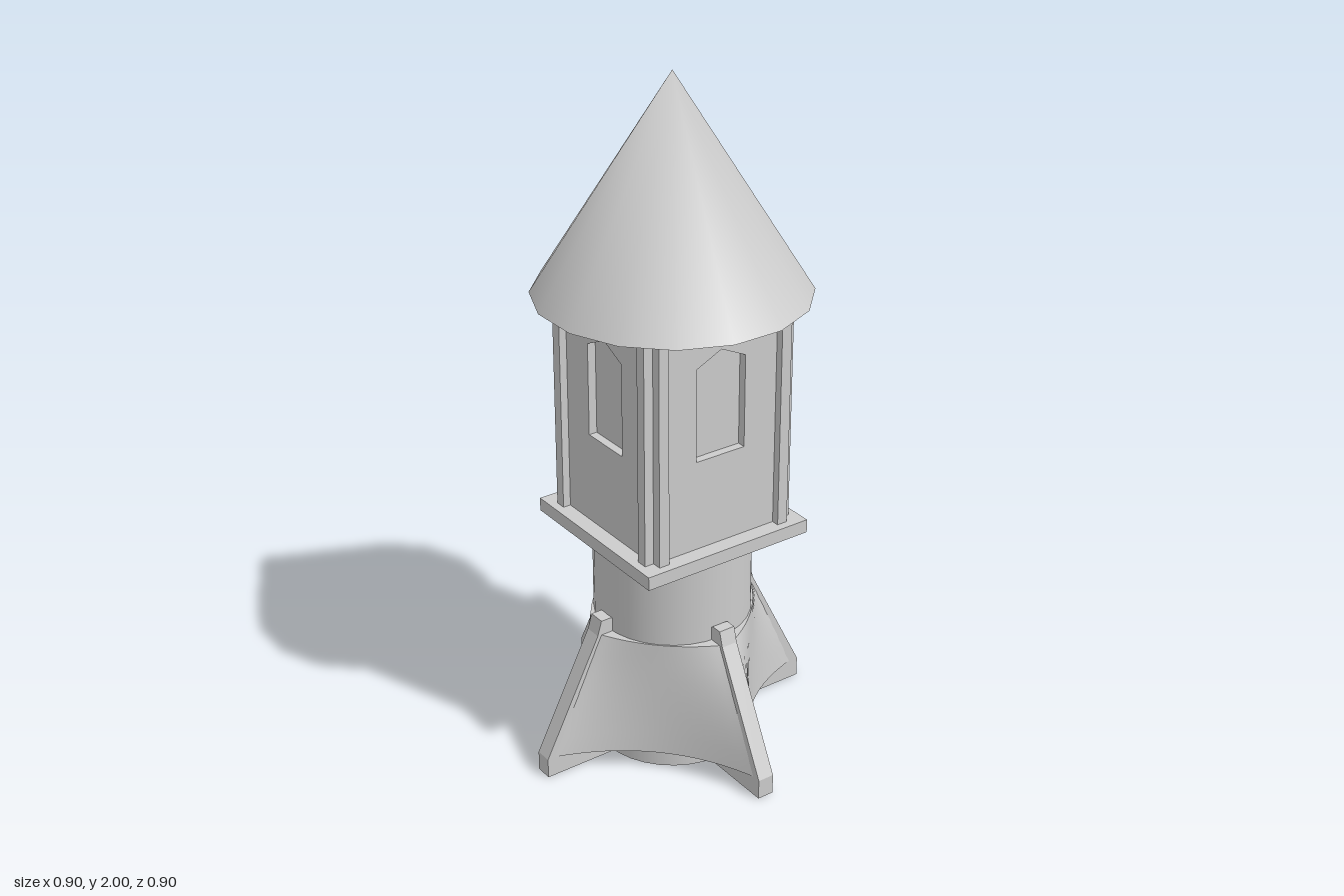
import * as THREE from 'three';
import { mergeVertices } from 'three/addons/utils/BufferGeometryUtils.js';

const stone = new THREE.MeshStandardMaterial({ color: 0xcccccc });
stone.name = 'stone grey';

const polygon = (pts) => new THREE.Shape(pts.map(([x, y]) => new THREE.Vector2(x, y)));
const extrude = (shape, depth) =>
  new THREE.ExtrudeGeometry(shape, { depth, bevelEnabled: false, curveSegments: 10 });

function part(parent, name, geometry, y = 0, turn = 0) {
  const mesh = new THREE.Mesh(geometry, stone);
  mesh.name = name;
  mesh.position.y = y;
  mesh.rotation.y = turn;
  parent.add(mesh);
  return mesh;
}

// Concave skirt between two fins, closed above and below; waist = its inner radius at the foot
function skirtGeometry(waist) {
  const rows = 6, cols = 16, pos = [], index = [];
  const ring = (t) => {
    const reach = THREE.MathUtils.lerp(0.44, 0.265, t);
    const middle = THREE.MathUtils.lerp(waist, 0.23, t);
    const c = middle * Math.SQRT2 - 0.5 * (reach + 0.02);
    return new THREE.QuadraticBezierCurve(new THREE.Vector2(reach, 0.02),
      new THREE.Vector2(c, c), new THREE.Vector2(0.02, reach)).getPoints(cols);
  };
  const addRing = (t) => ring(t).forEach((p) => pos.push(p.x, 0.06 + 0.35 * t, p.y));
  for (let j = 0; j <= rows; j++) addRing(j / rows);
  for (let j = 0; j < rows; j++) {
    for (let i = 0; i < cols; i++) {
      const a = j * (cols + 1) + i, b = a + cols + 1;
      index.push(a, b, a + 1, b, b + 1, a + 1);
    }
  }
  // End caps fan out from the axis
  for (const t of [0, 1]) {
    const hub = pos.length / 3;
    pos.push(0, 0.06 + 0.35 * t, 0);
    addRing(t);
    for (let i = 1; i <= cols; i++) {
      if (t) index.push(hub, hub + i + 1, hub + i);
      else index.push(hub, hub + i, hub + i + 1);
    }
  }
  const g = new THREE.BufferGeometry();
  g.setAttribute('position', new THREE.Float32BufferAttribute(pos, 3));
  g.setIndex(index);
  g.computeVertexNormals();
  return g;
}

export function createModel() {
  const model = new THREE.Group();
  model.name = 'tower';

  // Round shaft and square platform
  part(model, 'shaft', new THREE.CylinderGeometry(0.227, 0.227, 0.69, 32), 0.345);
  part(model, 'platform', new THREE.BoxGeometry(0.54, 0.04, 0.54), 0.70);

  // Four fins with skirts between them
  const finShape = polygon([[0.15, 0], [0.452, 0], [0.452, 0.06], [0.275, 0.41],
    [0.262, 0.455], [0.23, 0.455], [0.15, 0.41]]);
  const finGeometry = extrude(finShape, 0.05).translate(0, 0, -0.025);
  const fullSkirt = skirtGeometry(0.25);
  const slimSkirt = skirtGeometry(0.233);

  // Walls with recessed openings in front of a solid core
  const bottom = 0.72, top = 1.39, wallDepth = 0.025, core = 0.197;
  part(model, 'roomCore', new THREE.BoxGeometry(core * 2, top - bottom, core * 2), (top + bottom) / 2);

  const windowWall = polygon([[-0.2, bottom], [0.2, bottom], [0.2, top], [-0.2, top]]);
  windowWall.holes.push(polygon([[-0.08, 0.988], [-0.08, 1.262], [0, 1.3], [0.08, 1.262], [0.08, 0.988]]));

  const doorWall = new THREE.Shape();
  doorWall.moveTo(-0.2, bottom);
  doorWall.lineTo(-0.125, bottom);
  doorWall.lineTo(-0.125, 1.14);
  doorWall.absellipse(0, 1.14, 0.125, 0.08, Math.PI, 0, true, 0);
  doorWall.lineTo(0.125, bottom);
  doorWall.lineTo(0.2, bottom);
  doorWall.lineTo(0.2, top);
  doorWall.lineTo(-0.2, top);
  doorWall.closePath();

  const windowGeometry = extrude(windowWall, wallDepth).translate(0, 0, core);
  const doorGeometry = extrude(doorWall, wallDepth).translate(0, 0, core);

  // Notched corner post
  const postGeometry = extrude(polygon([[0.185, 0.185], [0.245, 0.185], [0.245, 0.217],
    [0.217, 0.217], [0.217, 0.245], [0.185, 0.245]]), top - bottom).rotateX(-Math.PI / 2);

  for (let k = 0; k < 4; k++) {
    const turn = k * Math.PI / 2;
    part(model, 'fin', finGeometry, 0, turn);
    part(model, 'skirt', k % 2 ? slimSkirt : fullSkirt, 0, turn);
    part(model, k === 2 ? 'doorWall' : 'windowWall', k === 2 ? doorGeometry : windowGeometry, 0, turn);
    part(model, 'cornerPost', postGeometry, bottom, turn);
  }

  // Sixteen-sided pointed roof, smooth over its tip, with a flat underside
  const cone = new THREE.ConeGeometry(0.384, 0.61, 16, 1, true);
  cone.deleteAttribute('uv');
  cone.deleteAttribute('normal');
  const roof = mergeVertices(cone);
  roof.computeVertexNormals();
  part(model, 'roof', roof, 1.695, Math.PI / 16);
  const soffit = new THREE.CircleGeometry(0.384, 16).rotateX(Math.PI / 2);
  part(model, 'roofUnderside', soffit, 1.39, Math.PI / 16);

  return model;
}
